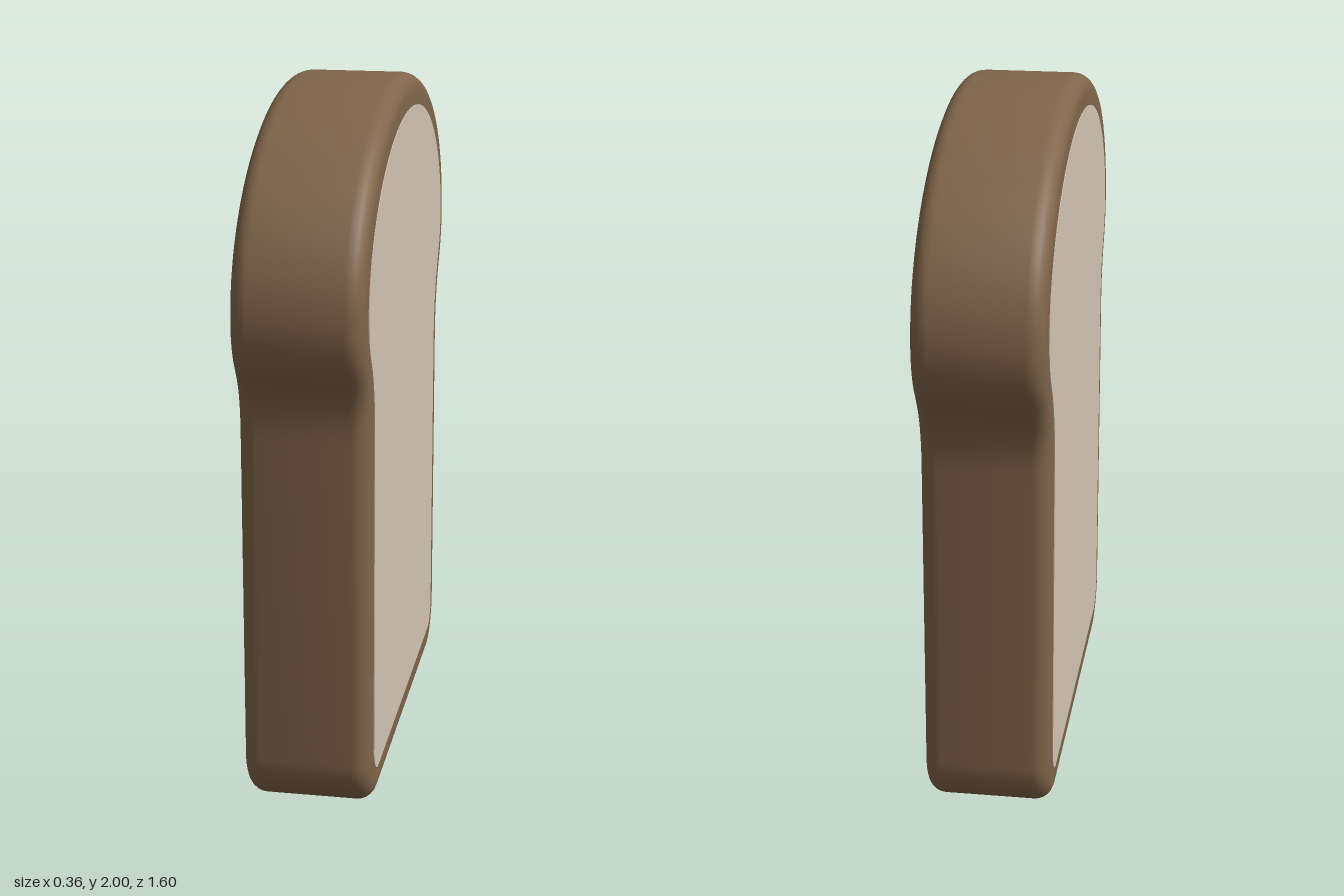
import * as THREE from 'three';
import { toCreasedNormals } from 'three/addons/utils/BufferGeometryUtils.js';

const HALF = 0.18;   // half thickness of the slice
const ROUND = 0.05;  // rounding of the crust edge

// Slice outline, drawn counter-clockwise; shape x becomes -z
function sliceOutline() {
  const s = new THREE.Shape();
  const r = 0.165;
  s.moveTo(-0.69 + r, 0);
  s.lineTo(0.67 - r, 0);
  s.bezierCurveTo(0.67 - r * 0.45, 0, 0.67, r * 0.45, 0.67, r);
  s.lineTo(0.668, 1.08);
  // neck and shoulder
  s.bezierCurveTo(0.672, 1.19, 0.71, 1.24, 0.75, 1.295);
  s.bezierCurveTo(0.785, 1.345, 0.80, 1.4, 0.80, 1.46);
  // domed top
  s.bezierCurveTo(0.80, 1.76, 0.44, 2, 0, 2);
  s.bezierCurveTo(-0.44, 2, -0.80, 1.76, -0.80, 1.46);
  // shoulder and neck
  s.bezierCurveTo(-0.80, 1.4, -0.785, 1.35, -0.75, 1.3);
  s.bezierCurveTo(-0.715, 1.25, -0.697, 1.21, -0.697, 1.11);
  s.lineTo(-0.69, r);
  s.bezierCurveTo(-0.69, r * 0.45, -0.69 + r * 0.55, 0, -0.69 + r, 0);
  return s;
}

// Extrude the outline along x, centred on x = 0
function slicePart(name, color, options, crease) {
  let geo = new THREE.ExtrudeGeometry(sliceOutline(), { curveSegments: 20, ...options });
  geo.translate(0, 0, -options.depth / 2);
  geo.rotateY(Math.PI / 2);
  geo = toCreasedNormals(geo, crease);
  const mesh = new THREE.Mesh(geo, new THREE.MeshStandardMaterial({ color }));
  mesh.name = name;
  return mesh;
}

export function createModel() {
  const group = new THREE.Group();
  group.name = 'breadSlice';

  // Crust with rounded edges
  group.add(slicePart('crust', 0x80654a, {
    depth: 2 * (HALF - ROUND),
    bevelSize: ROUND, bevelThickness: ROUND, bevelOffset: -ROUND, bevelSegments: 6,
  }, 0.7));

  // Crumb, inset from the crust and showing on both faces
  group.add(slicePart('crumb', 0xd2c4b3, {
    depth: 2 * HALF + 0.004,
    bevelSize: 0, bevelThickness: 0, bevelOffset: -0.093, bevelSegments: 1,
  }, 0.5));

  return group;
}
